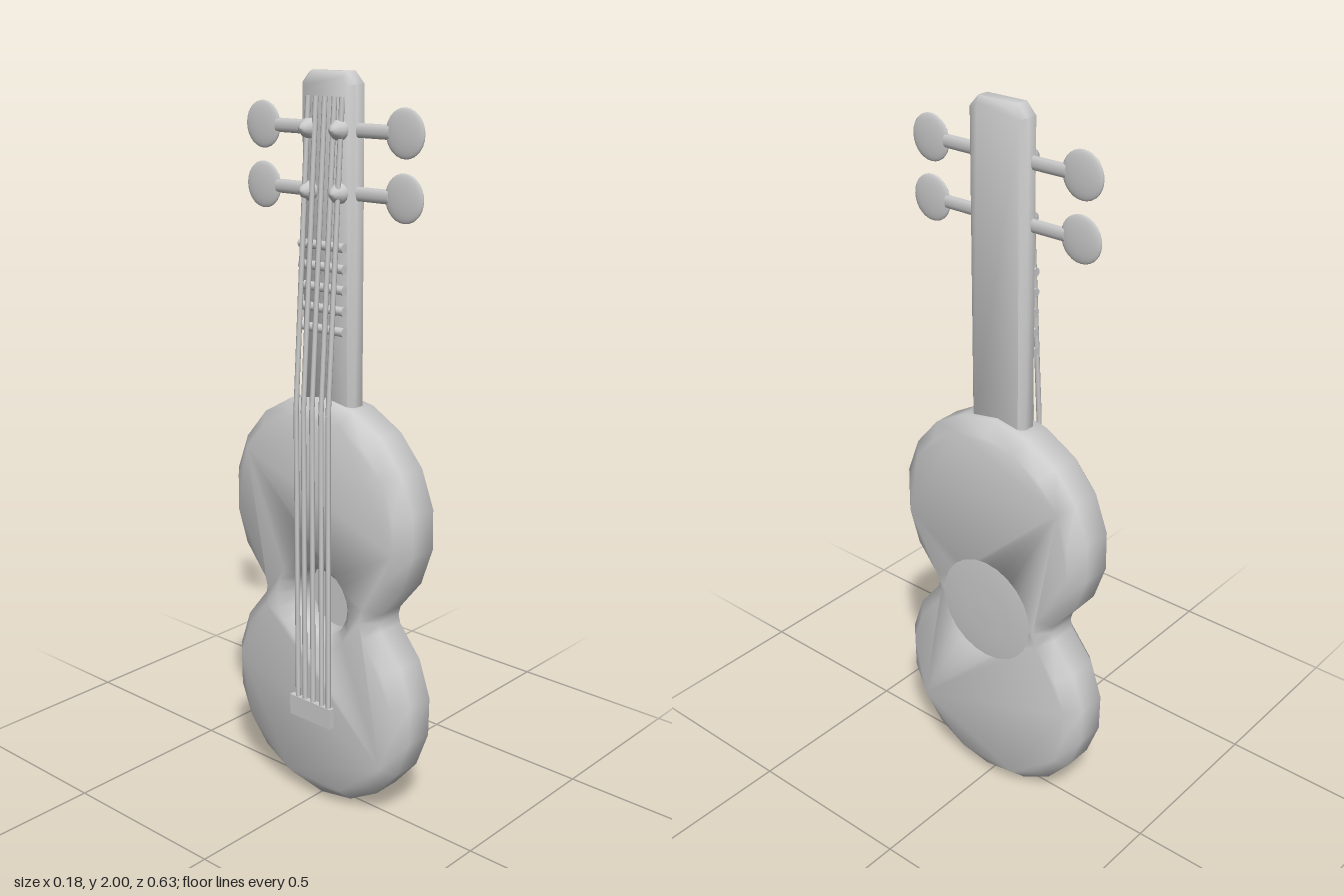
import * as THREE from 'three';
import { toCreasedNormals } from 'three/addons/utils/BufferGeometryUtils.js';

const grey = new THREE.MeshStandardMaterial({ color: 0xcccccc });
const X = new THREE.Vector3(1, 0, 0), Y = new THREE.Vector3(0, 1, 0);

function add(parent, name, geometry, x = 0, y = 0, z = 0) {
  const mesh = new THREE.Mesh(geometry, grey);
  mesh.name = name;
  mesh.position.set(x, y, z);
  parent.add(mesh);
  return mesh;
}

// Outline in the (-z, y) plane, thickened along x from x0 to x1 with a chamfered rim
function slab(points, x0, x1, bevel, holes = []) {
  const shape = new THREE.Shape(points.map(([u, y]) => new THREE.Vector2(u, y)));
  shape.holes.push(...holes);
  const g = new THREE.ExtrudeGeometry(shape, {
    depth: x1 - x0 - 2 * bevel, bevelThickness: bevel, bevelSize: bevel,
    bevelOffset: -bevel, bevelSegments: 1, curveSegments: 10,
  });
  g.translate(0, 0, x0 + bevel);
  g.rotateY(Math.PI / 2);
  return toCreasedNormals(g, 1);
}

// Straight rod between two points
function rod(a, b, radius, sides = 8) {
  const d = b.clone().sub(a);
  const g = new THREE.CylinderGeometry(radius, radius, d.length(), sides);
  g.applyQuaternion(new THREE.Quaternion().setFromUnitVectors(Y, d.clone().normalize()));
  const m = a.clone().add(b).multiplyScalar(0.5);
  return g.translate(m.x, m.y, m.z);
}

export function createModel() {
  const model = new THREE.Group();
  model.name = 'stringInstrument';

  // Figure-eight body: two round bouts joined at a waist, with a sound hole
  const upper = [];
  for (let i = 0; i <= 14; i++) {
    const a = -0.85 + (i / 14) * (Math.PI + 1.7);
    upper.push([0.32 * Math.cos(a), 0.85 + 0.32 * Math.sin(a)]);
  }
  const lower = upper.map(([u, y]) => [-u, 1.17 - y]);
  const outline = [...upper, [-0.205, 0.585], ...lower, [0.205, 0.585]];
  const hole = new THREE.Path();
  hole.absarc(0, 0.59, 0.095, 0, Math.PI * 2, true);
  add(model, 'body', slab(outline, -0.075, 0.083, 0.037, [hole]));

  // Floor of the sound hole and the slightly domed back
  const floor = new THREE.CircleGeometry(0.1, 24).rotateY(-Math.PI / 2);
  add(model, 'soundHoleFloor', floor, 0.03, 0.59, 0);
  const back = new THREE.LatheGeometry([
    new THREE.Vector2(0.17, 0), new THREE.Vector2(0.14, 0.004),
    new THREE.Vector2(0.08, 0.007), new THREE.Vector2(0, 0.008)], 24);
  back.rotateZ(-Math.PI / 2);
  add(model, 'backPanel', back, 0.081, 0.59, 0);

  // Neck with clipped top corners
  add(model, 'neck', slab([
    [-0.095, 1.1], [0.083, 1.1], [0.083, 1.97], [0.055, 2],
    [-0.067, 2], [-0.095, 1.97]], -0.028, 0.032, 0.014));

  // Tuning pegs on both sides, with string posts on the playing side
  for (const y of [1.86, 1.705]) {
    for (const s of [-1, 1]) {
      const peg = new THREE.Group();
      peg.name = 'tuningPeg';
      peg.position.set(-0.005, y, 0.007);
      model.add(peg);
      const shaft = add(peg, 'pegShaft',
        rod(new THREE.Vector3(0, 0, s * 0.07), new THREE.Vector3(0, 0, s * 0.19), 0.018, 10));
      shaft.scale.x = 0.5;
      const knob = add(peg, 'pegKnob', new THREE.SphereGeometry(0.061, 20, 14), 0, 0, s * 0.237);
      knob.scale.x = 0.16;

      const post = new THREE.LatheGeometry([
        new THREE.Vector2(0.026, 0), new THREE.Vector2(0.025, 0.014),
        new THREE.Vector2(0.012, 0.033), new THREE.Vector2(0, 0.037)], 12);
      post.rotateZ(Math.PI / 2);
      add(model, 'stringPost', post, -0.027, y, 0.006 + s * 0.051);
    }
  }

  // Frets across the neck
  for (let i = 0; i < 5; i++) {
    const fret = new THREE.CylinderGeometry(0.012, 0.012, 0.15, 10).rotateX(Math.PI / 2);
    add(model, 'fret', fret, -0.038, 1.355 + i * 0.054, 0.005);
  }

  // Bridge and five strings, bent where they leave the body
  add(model, 'bridge', new THREE.BoxGeometry(0.017, 0.06, 0.15), -0.0825, 0.275, 0.003);
  for (const z of [-0.048, -0.022, 0.008, 0.04, 0.065]) {
    const path = [[-0.083, 0.26], [-0.083, 1.14], [-0.031, 1.94]]
      .map(([x, y]) => new THREE.Vector3(x, y, z));
    const string = new THREE.Group();
    string.name = 'string';
    model.add(string);
    add(string, 'bodySpan', rod(path[0], path[1], 0.007));
    add(string, 'neckSpan', rod(path[1], path[2], 0.007));
  }
  return model;
}
